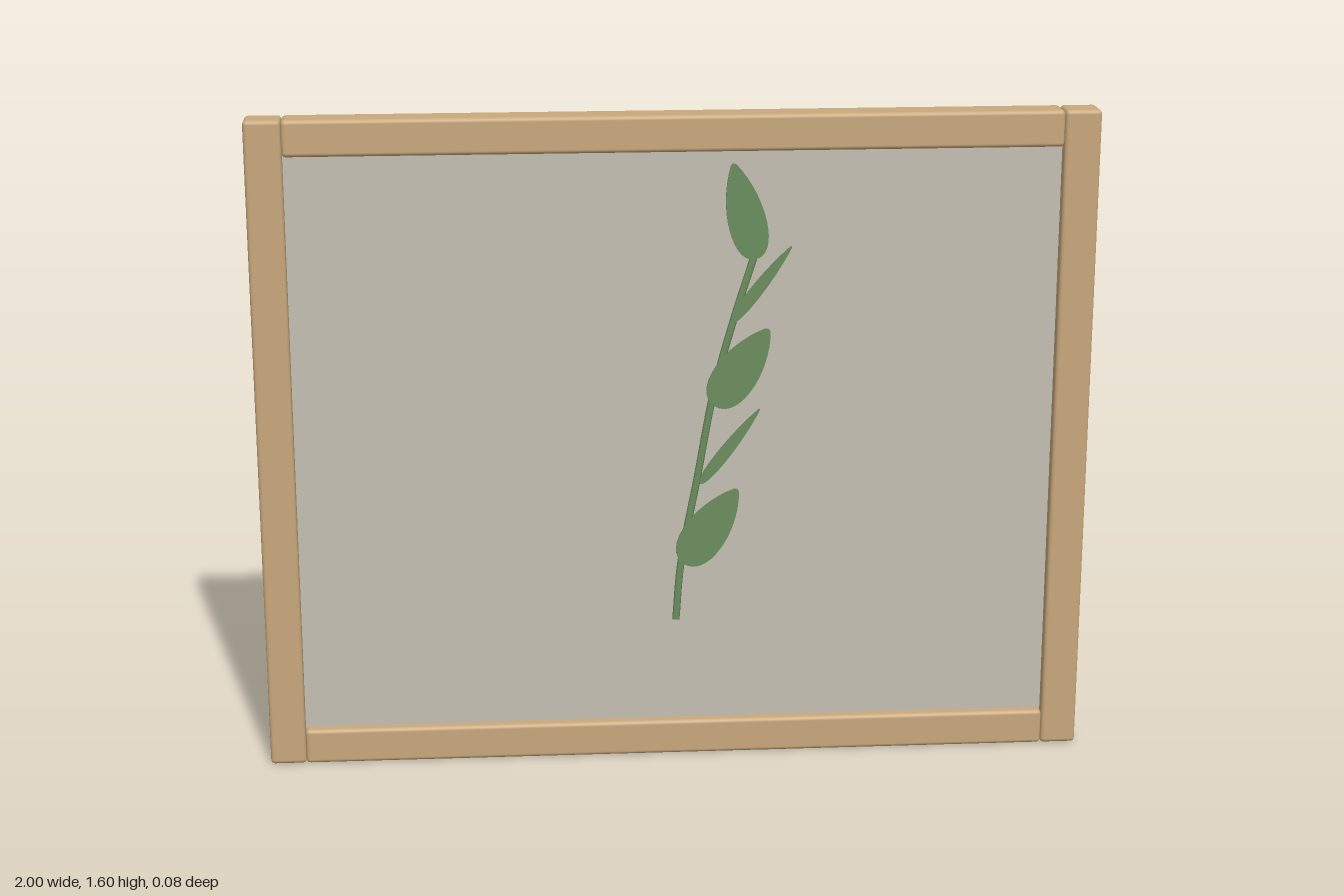
import * as THREE from 'three';
import { RoundedBoxGeometry } from 'three/addons/geometries/RoundedBoxGeometry.js';

const W = 2, H = 1.6, BAR = 0.087, DEPTH = 0.08, PANEL = 0.024;

export function createModel() {
  const group = new THREE.Group();
  const wood = new THREE.MeshStandardMaterial({ color: 0xc9a87c });
  const paper = new THREE.MeshStandardMaterial({ color: 0xc4c0b4 });
  const green = new THREE.MeshStandardMaterial({ color: 0x6b8e5e });

  const add = (name, geometry, material, x = 0, y = 0, z = 0) => {
    const mesh = new THREE.Mesh(geometry, material);
    mesh.name = name;
    mesh.position.set(x, y, z);
    group.add(mesh);
    return mesh;
  };

  // Frame: full-height posts with rails fitted between them
  const post = new RoundedBoxGeometry(BAR, H, DEPTH, 3, 0.01);
  const rail = new RoundedBoxGeometry(W - 2 * BAR, BAR, DEPTH, 3, 0.01);
  add('leftPost', post, wood, W / 2 - BAR / 2, H / 2);
  add('rightPost', post, wood, -W / 2 + BAR / 2, H / 2);
  add('topRail', rail, wood, 0, H - BAR / 2);
  add('bottomRail', rail, wood, 0, BAR / 2);

  // Backing panel, tucked slightly into the frame
  const inset = 2 * BAR - 0.02;
  add('panel', new THREE.BoxGeometry(W - inset, H - inset, PANEL), paper, 0, H / 2);

  // Pressed stem
  const stemPath = new THREE.CatmullRomCurve3([
    [0, 0.345], [0.012, 0.49], [0.052, 0.71], [0.092, 0.93], [0.14, 1.11], [0.19, 1.27],
  ].map(([x, y]) => new THREE.Vector3(x, y, 0)));
  const stem = add('stem', new THREE.TubeGeometry(stemPath, 32, 0.009, 8), green, 0, 0, PANEL / 2);
  stem.scale.z = 0.5;

  // Leaf: pointed-oval outline from base to tip, fullest below the middle
  const addLeaf = (name, [bx, by], [tx, ty], width) => {
    const length = Math.hypot(tx - bx, ty - by);
    const w = width * 0.66;
    const shape = new THREE.Shape();
    shape.moveTo(0, 0);
    shape.bezierCurveTo(w, 0, w, length * 0.6, width * 0.08, length * 0.98);
    shape.quadraticCurveTo(0, length * 1.02, -width * 0.08, length * 0.98);
    shape.bezierCurveTo(-w, length * 0.6, -w, 0, 0, 0);
    const geometry = new THREE.ExtrudeGeometry(shape, { depth: 0.006, bevelEnabled: false, curveSegments: 16 });
    const leaf = add(name, geometry, green, bx, by, PANEL / 2 - 0.001);
    leaf.rotation.z = Math.atan2(ty - by, tx - bx) - Math.PI / 2;
  };
  addLeaf('topLeaf', [0.19, 1.25], [0.135, 1.48], 0.09);
  for (const [i, dx, dy] of [[1, 0, 0], [2, -0.073, -0.4]]) {
    addLeaf('broadLeaf' + i, [0.092 + dx, 0.89 + dy], [0.222 + dx, 1.078 + dy], 0.104);
    addLeaf('narrowLeaf' + i, [0.132 + dx, 1.095 + dy], [0.275 + dx, 1.28 + dy], 0.03);
  }

  return group;
}
